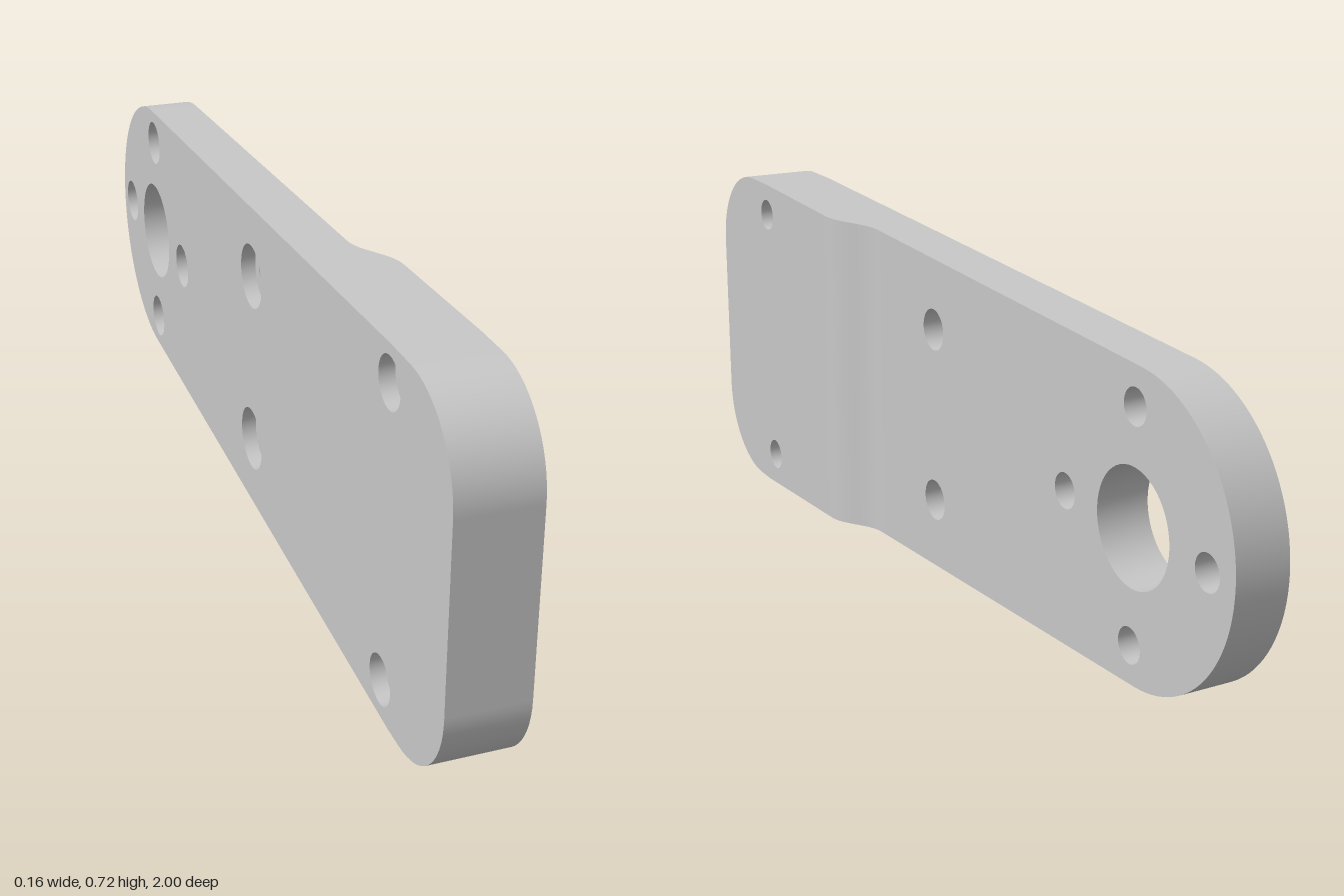
import * as THREE from 'three';

const STEP0 = 0.25, STEP1 = 0.42, STEPS = 20, BORE_DEPTH = 0.03;

// The plate lies in the z-y plane; its thickness runs along x and it is slightly skewed.
const backX = (z) => -0.0745 - 0.0065 * z;
const frontX = (z) => backX(z) + 0.106 + 0.05 * THREE.MathUtils.smootherstep(z, STEP0, STEP1);
const ledgeX = (z) => backX(z) + BORE_DEPTH;

// Straight tapering edges
const topY = (z) => 0.722 + 0.0335 * (z - 0.74);
const bottomY = (z) => 0.0643 * (0.77 - z);

// Holes: z, y, radius, counterbore radius
const holes = [
  [0.735, 0.652, 0.034, 0.048], [0.727, 0.075, 0.034, 0.048],
  [0.013, 0.553, 0.042, 0.065], [0.008, 0.193, 0.042, 0.065],
  [-0.706, 0.600, 0.034, 0.048], [-0.925, 0.385, 0.034, 0.048],
  [-0.711, 0.168, 0.034, 0.048], [-0.492, 0.380, 0.034, 0.048],
  [-0.709, 0.385, 0.11, 0.11],
];

function arc(z, y, r, a0, a1, n) {
  return Array.from({ length: n + 1 }, (_, i) => {
    const a = a0 + (a1 - a0) * i / n;
    return new THREE.Vector2(z + r * Math.cos(a), y + r * Math.sin(a));
  });
}
const circle = (z, y, r) => arc(z, y, r, 0, Math.PI * 2, 48).slice(0, -1);

// Flat face over an outline, placed at x = depth(z)
function face(outline, cutouts, depth, facesFront) {
  const shape = new THREE.Shape(outline);
  shape.holes = cutouts.map((c) => new THREE.Path(c));
  const g = new THREE.ShapeGeometry(shape);
  const p = g.attributes.position;
  for (let i = 0; i < p.count; i++) {
    const z = p.getX(i), y = p.getY(i);
    p.setXYZ(i, depth(z), y, z);
  }
  if (facesFront) g.index.array.reverse();
  g.computeVertexNormals();
  return g;
}

// Strip of quads between two rows of points
function strip(a, b, closed, flip) {
  const n = a.length, idx = [];
  for (let i = 0; i < (closed ? n : n - 1); i++) {
    const j = (i + 1) % n;
    idx.push(i, n + i, j, j, n + i, n + j);
  }
  if (flip) idx.reverse();
  const g = new THREE.BufferGeometry().setFromPoints([...a, ...b]);
  g.setIndex(idx);
  g.computeVertexNormals();
  return g;
}

// Wall joining two depths along a closed outline
function wall(outline, from, to, inward) {
  const at = (f) => outline.map((p) => new THREE.Vector3(f(p.x), p.y, p.x));
  return strip(at(from), at(to), true, inward);
}

export function createModel() {
  const group = new THREE.Group();
  const grey = new THREE.MeshStandardMaterial({ color: 0xc8c8c8 });
  grey.name = 'lightGrey';
  const add = (name, geometry) => {
    const mesh = new THREE.Mesh(geometry, grey);
    mesh.name = name;
    group.add(mesh);
  };
  const V = (z, y) => new THREE.Vector2(z, y);
  const PI = Math.PI;

  // Outline sections, running counter-clockwise in z-y
  const wideEnd = [
    V(0.77, 0), ...arc(0.82, 0.18, 0.18, -PI / 2, 0, 16),
    ...arc(0.82, 0.542, 0.18, 0, PI / 2, 16), V(0.74, 0.722),
  ];
  const roundEnd = arc(-0.712, 0.385, 0.288, PI / 2 + 0.033, PI * 1.5 - 0.064, 48);
  const stepZ = Array.from({ length: STEPS + 1 }, (_, i) => STEP1 + (STEP0 - STEP1) * i / STEPS);
  const topStep = stepZ.map((z) => V(z, topY(z)));
  const bottomStep = stepZ.map((z) => V(z, bottomY(z)));
  const outline = [...wideEnd, ...topStep, ...roundEnd, ...bottomStep.slice().reverse()];

  const small = holes.map(([z, y, r]) => circle(z, y, r));
  const large = holes.map(([z, y, , r]) => circle(z, y, r));

  // Plate faces and rim
  add('backFace', face(outline, large, backX, false));
  add('thickFrontFace', face([...wideEnd, topStep[0], bottomStep[0]], small.slice(0, 2), frontX, true));
  add('thinFrontFace', face([topStep[STEPS], ...roundEnd, bottomStep[STEPS]], small.slice(2), frontX, true));
  add('rim', wall(outline, backX, frontX, false));

  // Curved step between the two thicknesses
  const lift = (p) => new THREE.Vector3(frontX(p.x), p.y, p.x);
  add('curvedStep', strip(topStep.map(lift), bottomStep.map(lift), false, false));

  // Bolt holes with counterbores from the back, and the plain large bore
  holes.forEach(([, , r, R], i) => {
    if (R === r) {
      add('mainBore', wall(small[i], backX, frontX, true));
      return;
    }
    add('counterboreWall', wall(large[i], backX, ledgeX, true));
    add('counterboreLedge', face(large[i], [small[i]], ledgeX, false));
    add('boltHoleWall', wall(small[i], ledgeX, frontX, true));
  });

  return group;
}
